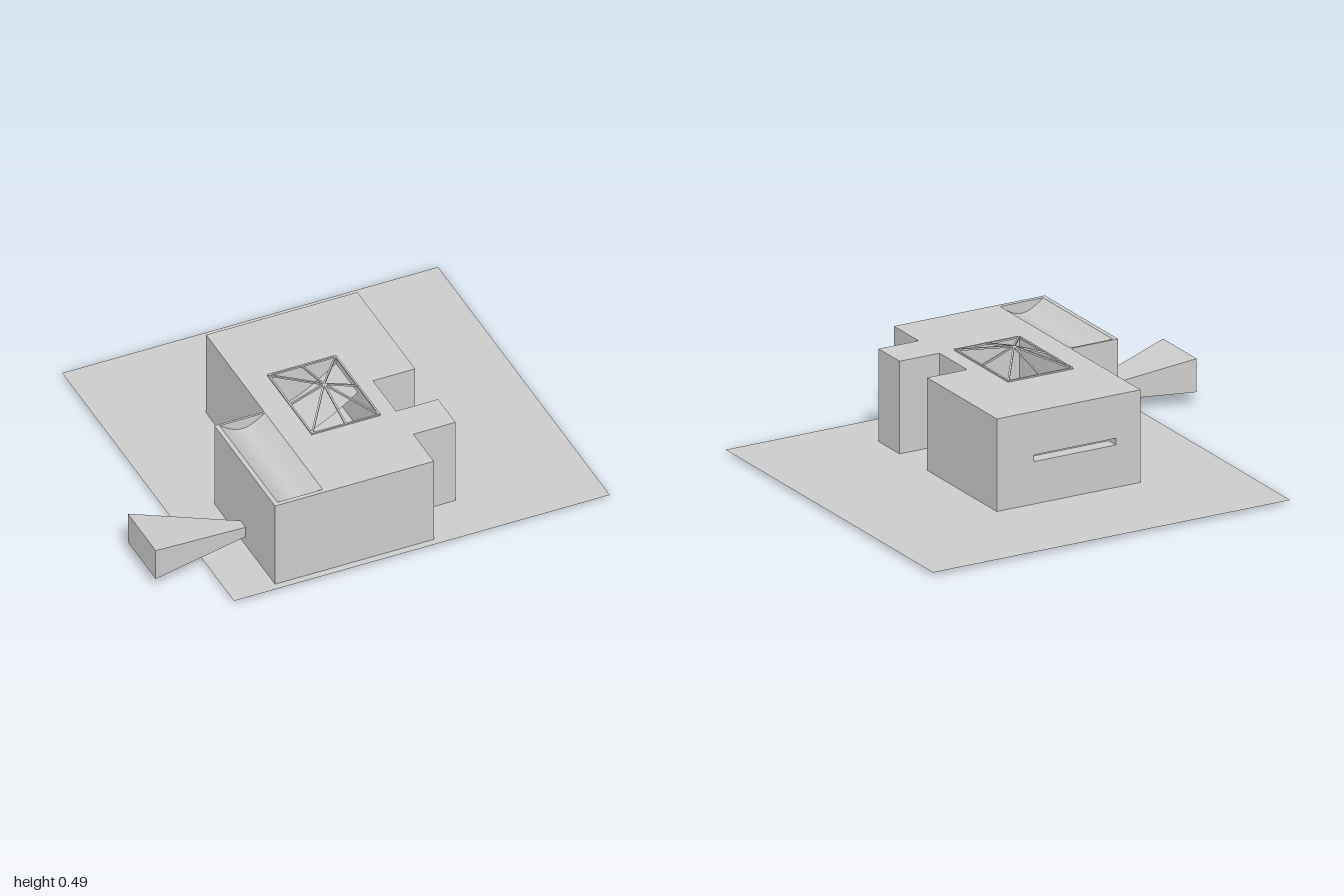
import * as THREE from 'three';

const mat = new THREE.MeshStandardMaterial({ color: 0xcccccc, side: THREE.DoubleSide, flatShading: true });
const smooth = new THREE.MeshStandardMaterial({ color: 0xcccccc, side: THREE.DoubleSide });
const BASE = 0.015, TOP = 0.43, FLOOR = 0.205, SLOT = 0.235;

export function createModel() {
  const group = new THREE.Group();

  const add = (name, geometry, material = mat) => {
    const mesh = new THREE.Mesh(geometry, material);
    mesh.name = name;
    group.add(mesh);
    return mesh;
  };
  // Box given by its opposite corners
  const box = (name, x0, x1, y0, y1, z0, z1) =>
    add(name, new THREE.BoxGeometry(x1 - x0, y1 - y0, z1 - z0))
      .position.set((x0 + x1) / 2, (y0 + y1) / 2, (z0 + z1) / 2);
  // Slender bar between two points
  const bar = (name, a, b, t = 0.008) => {
    const mesh = add(name, new THREE.BoxGeometry(t, t, a.distanceTo(b)));
    mesh.position.copy(a).lerp(b, 0.5);
    mesh.lookAt(b);
  };
  // Curved sheet across x, running from z0 to z1, following y = rule(t)
  const sheet = (name, x0, x1, z0, z1, rule) => {
    const g = new THREE.PlaneGeometry(1, 1, 20, 1).rotateX(-Math.PI / 2);
    const p = g.attributes.position;
    for (let i = 0; i < p.count; i++) {
      const t = p.getX(i) + 0.5;
      p.setXYZ(i, x0 + (x1 - x0) * t, rule(t), z0 + (z1 - z0) * (p.getZ(i) + 0.5));
    }
    g.computeVertexNormals();
    add(name, g, smooth);
  };

  // Thin ground sheet
  const ground = add('ground', new THREE.PlaneGeometry(1.74, 1.725).rotateX(-Math.PI / 2));
  ground.position.set(0.13, BASE, 0);

  // Main building in stacked storeys, with a courtyard and a slot in the back wall
  const outline = [[-0.305, -0.36], [-0.305, 0.83], [0.2, 0.83], [0.2, 0.625], [0.395, 0.625],
    [0.395, 0.45], [0.2, 0.45], [0.2, 0.22], [0.395, 0.22], [0.395, -0.36]];
  const slot = [[0.215, -0.36], [0.215, -0.3], [-0.185, -0.3], [-0.185, -0.36]];
  const court = [[-0.19, 0], [0.13, 0], [0.13, 0.45], [-0.19, 0.45]];
  const points = (list) => list.map(([x, z]) => new THREE.Vector2(x, -z));
  const storey = (name, y0, y1, corners, open) => {
    const shape = new THREE.Shape(points(corners));
    if (open) shape.holes.push(new THREE.Path(points(court)));
    const g = new THREE.ExtrudeGeometry(shape, { depth: y1 - y0, bevelEnabled: false });
    add(name, g.rotateX(-Math.PI / 2)).position.y = y0;
  };
  storey('lowerStorey', BASE, FLOOR, outline, false);
  storey('slotStorey', FLOOR, SLOT, [...outline, ...slot], true);
  storey('upperStorey', SLOT, TOP, outline, true);

  // Side wing with a curved sunken roof inside its parapets
  box('wingBase', -0.535, -0.305, BASE, 0.34, 0.22, 0.83);
  box('wingSideParapet', -0.535, -0.515, 0.34, TOP, 0.22, 0.83);
  box('wingFrontParapet', -0.515, -0.305, 0.34, TOP, 0.81, 0.83);
  box('wingBackParapet', -0.515, -0.305, 0.34, TOP, 0.22, 0.23);
  sheet('wingCurvedRoof', -0.515, -0.305, 0.23, 0.81, (t) => TOP - 0.05 * Math.sin(Math.PI * t));

  // Curved scoop inside the back half of the courtyard
  sheet('courtyardScoop', -0.19, 0.13, 0, 0.22, (t) => 0.24 + 0.15 * (1 - Math.cos(t * Math.PI / 2)));

  // Open skylight frame over the courtyard
  const apex = new THREE.Vector3(-0.03, 0.49, 0.225);
  const rim = [[-0.186, 0.004], [-0.03, 0.004], [0.126, 0.004], [0.126, 0.225],
    [0.126, 0.446], [-0.03, 0.446], [-0.186, 0.446], [-0.186, 0.225]]
    .map(([x, z]) => new THREE.Vector3(x, TOP + 0.002, z));
  rim.forEach((p, i) => {
    bar('skylightRim', p, rim[(i + 1) % rim.length]);
    bar('skylightRib', p, apex);
  });

  // Tapered window hood widening away from the side wall
  const hood = new THREE.BoxGeometry(1, 1, 1);
  const p = hood.attributes.position;
  for (let i = 0; i < p.count; i++) {
    const outer = p.getX(i) < 0;
    p.setXYZ(i, outer ? -1 : -0.535,
      p.getY(i) < 0 ? 0.06 : outer ? 0.21 : 0.11,
      (outer ? 0.5 : 0.51) + Math.sign(p.getZ(i)) * (outer ? 0.14 : 0.025));
  }
  hood.computeVertexNormals();
  add('windowHood', hood);

  // Inner partitions reaching just below the ground sheet
  box('partition', -0.064, -0.056, 0, 0.2, 0, 0.225);
  box('partition', -0.305, -0.056, 0, 0.2, 0.221, 0.229);
  box('partition', -0.305, -0.297, 0, 0.2, 0.455, 0.63);

  return group;
}
